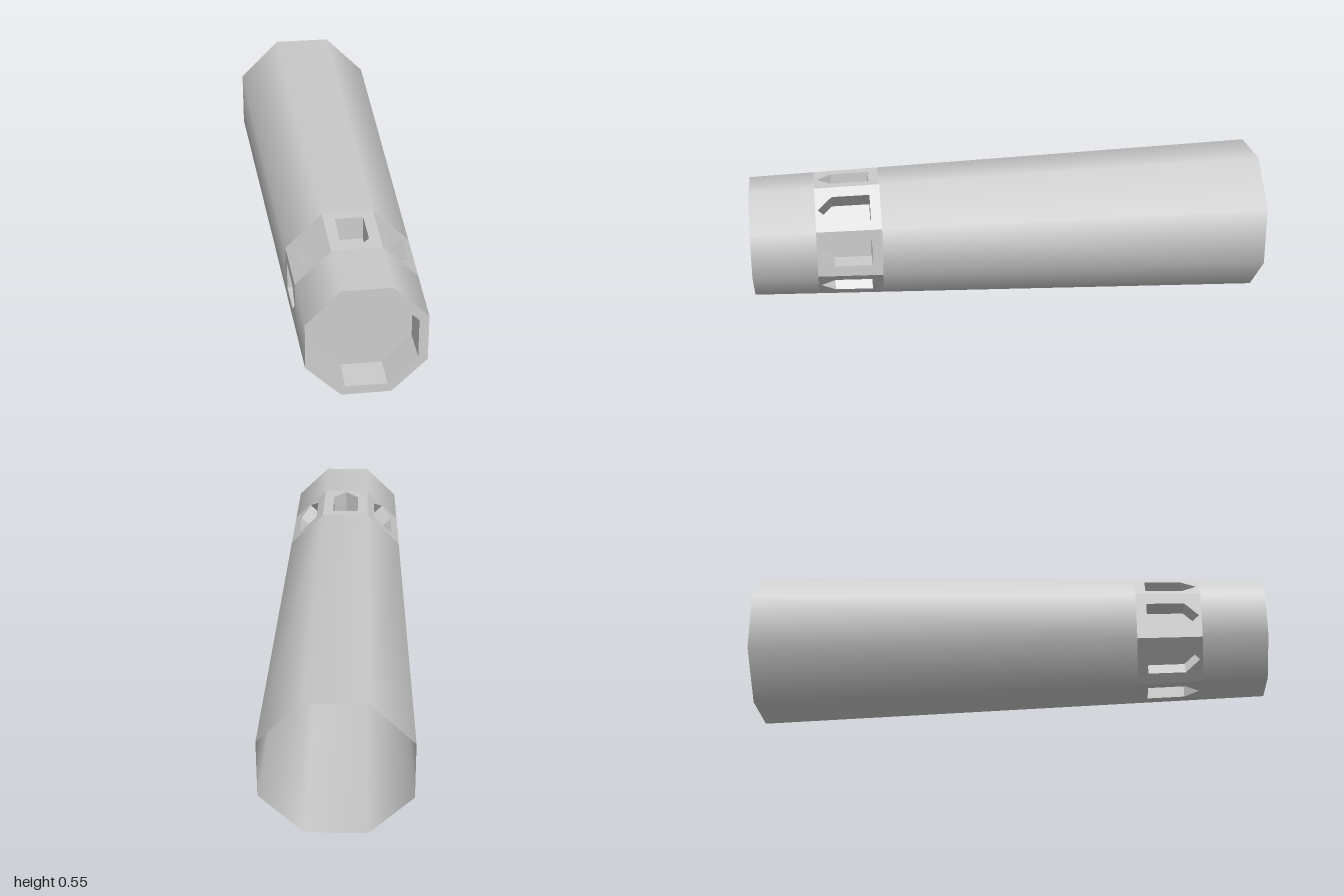
import * as THREE from 'three';

const SIDES = 8;
const AXIS_Y = 0.273;
const apothem = (z) => 0.2435 - 0.0295 * z; // tapers towards the front
const corner = Math.cos(Math.PI / SIDES);

export function createModel() {
  const model = new THREE.Group();
  const barrel = new THREE.Group();
  barrel.name = 'barrel';
  barrel.position.y = AXIS_Y;
  model.add(barrel);

  const smooth = new THREE.MeshStandardMaterial({ color: 0xcccccc, side: THREE.DoubleSide });
  const flat = new THREE.MeshStandardMaterial({ color: 0xcccccc, side: THREE.DoubleSide, flatShading: true });

  const add = (parent, name, geometry, material) => {
    const mesh = new THREE.Mesh(geometry, material);
    mesh.name = name;
    parent.add(mesh);
    return mesh;
  };

  // Octagonal open tube along z, with flats facing the axes
  const tube = (front, back, aFront, aBack) =>
    new THREE.CylinderGeometry(aFront / corner, aBack / corner, front - back, SIDES, 1, true, Math.PI / SIDES)
      .rotateX(Math.PI / 2)
      .translate(0, 0, (front + back) / 2);

  // Smooth shell behind and in front of the window band
  add(barrel, 'rearBarrel', tube(0.5, -1, apothem(0.5), apothem(-1)), smooth);
  add(barrel, 'frontBarrel', tube(1, 0.75, apothem(1), apothem(0.75)), smooth);

  // Front rim and the recess behind it
  const inner = 0.18, recess = 0.13;
  add(barrel, 'frontRim',
    new THREE.RingGeometry(inner / corner, apothem(1) / corner, SIDES, 1, Math.PI / SIDES), flat).position.z = 1;
  add(barrel, 'recessWall', tube(1, 1 - recess, inner, inner), flat);
  add(barrel, 'recessFloor',
    new THREE.CircleGeometry(inner / corner, SIDES, Math.PI / SIDES), flat).position.z = 1 - recess;

  // Maps a flat (across, along) point onto the sloping top side, sunk by depth
  const onSide = (x, z, depth) => [-x, apothem(z) - depth, z];
  const wrap = (geometry, depth) => {
    const p = geometry.attributes.position;
    for (let i = 0; i < p.count; i++) p.setXYZ(i, ...onSide(p.getX(i), p.getY(i), depth));
    geometry.computeVertexNormals();
    return geometry;
  };

  // Pointed window outline, and the band panel it is cut from
  const outline = [[-0.052, 0.54], [0.052, 0.54], [0.052, 0.685], [0, 0.74], [-0.052, 0.685]]
    .map(([x, z]) => new THREE.Vector2(x, z));
  const half = (z) => apothem(z) * Math.tan(Math.PI / SIDES);
  const panel = new THREE.Shape([
    new THREE.Vector2(-half(0.5), 0.5), new THREE.Vector2(half(0.5), 0.5),
    new THREE.Vector2(half(0.75), 0.75), new THREE.Vector2(-half(0.75), 0.75),
  ]);
  panel.holes.push(new THREE.Path(outline));
  const panelGeometry = wrap(new THREE.ShapeGeometry(panel), 0);

  // Pocket floor and walls
  const depth = 0.09;
  const floorGeometry = wrap(new THREE.ShapeGeometry(new THREE.Shape(outline)), depth);
  const walls = [];
  outline.forEach((p, i) => {
    const q = outline[(i + 1) % outline.length];
    const a = onSide(p.x, p.y, 0), b = onSide(q.x, q.y, 0);
    const c = onSide(q.x, q.y, depth), d = onSide(p.x, p.y, depth);
    walls.push(...a, ...b, ...c, ...a, ...c, ...d);
  });
  const wallGeometry = new THREE.BufferGeometry();
  wallGeometry.setAttribute('position', new THREE.Float32BufferAttribute(walls, 3));
  wallGeometry.computeVertexNormals();

  // One panel with its pocket on every side
  for (let i = 0; i < SIDES; i++) {
    const side = new THREE.Group();
    side.name = 'windowPanel' + (i + 1);
    side.rotation.z = (i * 2 * Math.PI) / SIDES;
    add(side, 'panel', panelGeometry, flat);
    add(side, 'pocketWalls', wallGeometry, flat);
    add(side, 'pocketFloor', floorGeometry, flat);
    barrel.add(side);
  }

  return model;
}
